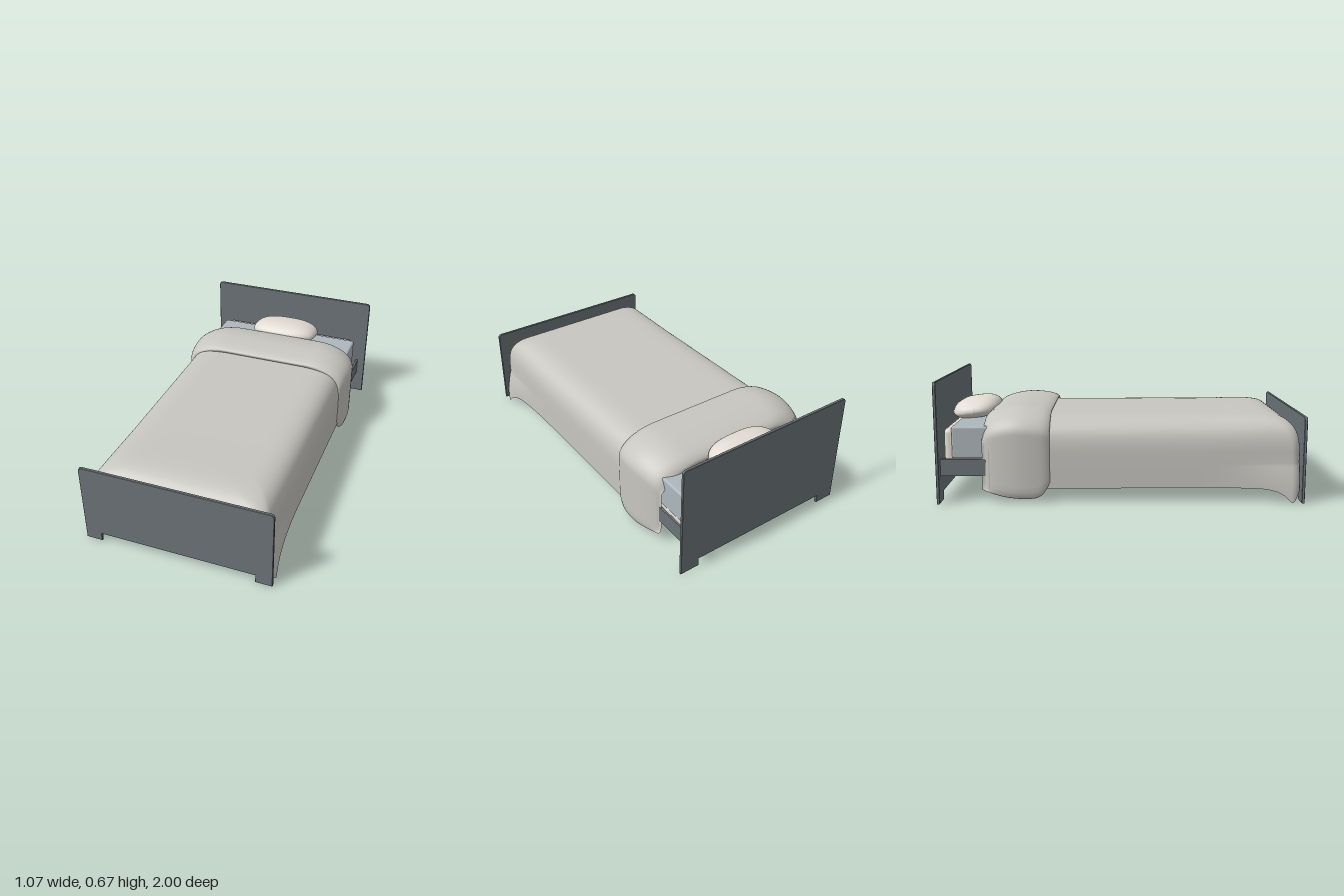
import * as THREE from 'three';
import { RoundedBoxGeometry } from 'three/addons/geometries/RoundedBoxGeometry.js';

const material = (color, side = THREE.FrontSide) => new THREE.MeshStandardMaterial({ color, side });
const clamp01 = (t) => Math.min(1, Math.max(0, t));

// Smooth surface through rows of points
function gridGeometry(rows, closed = false) {
  const n = rows[0].length, index = [];
  for (let i = 0; i < rows.length - 1; i++) {
    for (let j = 0; j < (closed ? n : n - 1); j++) {
      const k = (j + 1) % n, a = i * n + j, b = i * n + k, c = a + n, d = b + n;
      index.push(a, b, d, a, d, c);
    }
  }
  const g = new THREE.BufferGeometry();
  g.setAttribute('position', new THREE.Float32BufferAttribute(rows.flat(2), 3));
  g.setIndex(index);
  g.computeVertexNormals();
  return g;
}

// End board: rounded top corners and a notch that leaves two feet
function boardGeometry(height, footInner) {
  const w = 0.533, r = 0.02, notch = 0.048, s = new THREE.Shape();
  s.moveTo(-w, 0);
  s.lineTo(-footInner, 0);
  s.lineTo(-footInner, notch);
  s.lineTo(footInner, notch);
  s.lineTo(footInner, 0);
  s.lineTo(w, 0);
  s.lineTo(w, height - r);
  s.absarc(w - r, height - r, r, 0, Math.PI / 2);
  s.absarc(r - w, height - r, r, Math.PI / 2, Math.PI);
  return new THREE.ExtrudeGeometry(s, {
    depth: 0.012, bevelThickness: 0.002, bevelSize: 0.002, bevelOffset: -0.002, bevelSegments: 1, curveSegments: 6,
  });
}

// Blanket: rounded U-shaped outlines, stacked from the hem up and in to the middle
function blanketGeometry() {
  const top = 0.461, edge = 0.25, wall = 10, head = -0.72, foot = 0.98;
  const soften = (v) => Math.max(0, v) ** (2 / 3.6);
  const levels = [];
  for (let i = 0; i <= wall; i++) levels.push({ d: 0, h: i / wall });
  for (let i = 1; i <= 20; i++) {
    const a = (i / 20) * Math.PI / 2;
    levels.push({ d: edge * (1 - soften(Math.cos(a))), y: top - edge * (1 - soften(Math.sin(a))) });
  }
  for (const d of [0.33, 0.42, 0.5]) levels.push({ d, y: top });

  const rows = levels.map(({ d, h, y }) => {
    const w = 0.5 - d, f = foot - d, r = Math.min(w, 0.05 + 0.4 * d), half = [];
    for (let i = 0; i < 40; i++) half.push([w, head + (f - r - head) * i / 40]);
    for (let i = 0; i <= 10; i++) {
      const a = (i / 10) * Math.PI / 2;
      half.push([w - r + r * Math.cos(a), f - r + r * Math.sin(a)]);
    }
    for (let i = 1; i <= 16; i++) half.push([(w - r) * (1 - i / 16), f]);
    const outline = [...half, ...half.slice(0, -1).reverse().map(([x, z]) => [-x, z])];
    return outline.map(([x, z]) => {
      // The top rises slightly, and the hem drops and flares, towards the foot
      const rise = 0.006 * clamp01((z - 0.5) / 0.3);
      if (h === undefined) return [x, y + rise, z];
      const drop = clamp01((z - 0.5) / 0.43) ** 7 * clamp01((Math.abs(x) - 0.2) / 0.28) ** 3
        * (1 - 0.7 * clamp01((z - 0.935) / 0.035) ** 2);
      const hem = 0.079 - 0.076 * drop;
      const flare = 0.032 * clamp01((z - 0.45) / 0.48) ** 2 * (1 - h * h);
      return [x * (1 + flare / 0.5), hem + (top - edge + rise - hem) * h, z];
    });
  });
  return gridGeometry(rows);
}

// Turned-down fold: a puffy closed section carried over the bed in an arch
function foldGeometry() {
  const profile = new THREE.CatmullRomCurve3([
    [-0.7, 0.1], [-0.745, 0.095], [-0.757, 0.07], [-0.735, 0.042], [-0.68, 0.018], [-0.57, 0], [-0.46, 0.006],
    [-0.41, 0.017], [-0.387, 0.032], [-0.394, 0.048], [-0.42, 0.06], [-0.55, 0.06],
  ].map(([z, d]) => new THREE.Vector3(z, d, 0)), true).getPoints(64).slice(0, -1);
  const hemAt = (z) => {
    const t = z + 0.53;
    return 0.02 + (t < 0 ? 0.05 * (t / 0.22) ** 2 : 0.09 * (t / 0.14) ** 4);
  };
  const rx = 0.23, ry = 0.132, arch = [];
  arch.push({ h: 0, close: 1 }, { h: 0.01, close: 0.6 }, { h: 0.035, close: 0.25 });
  for (let i = 1; i <= 12; i++) arch.push({ h: 0.035 + 0.965 * i / 12, close: 0 });
  for (let i = 1; i <= 14; i++) arch.push({ a: (i / 14) * Math.PI / 2 });
  for (let i = 1; i <= 6; i++) arch.push({ flat: 1 - i / 6 });

  const half = arch.map(({ h, close, a, flat }) => profile.map(({ x: z, y: depth }) => {
    const lift = h !== undefined ? 0 : a !== undefined ? Math.sin(a) : 1;
    let d = Math.min(depth, 0.048 + 0.052 * lift);
    if (close) d += (0.03 - d) * close;
    const w = 0.53 - d, top = 0.512 - d, hem = hemAt(z);
    if (h !== undefined) return [w, hem + (top - ry - hem) * h, z];
    if (a !== undefined) return [w - rx + rx * Math.cos(a), top - ry + ry * Math.sin(a), z];
    return [(w - rx) * flat, top, z];
  }));
  const mirrored = half.slice(0, -1).reverse().map((row) => row.map(([x, y, z]) => [-x, y, z]));
  return gridGeometry([...half, ...mirrored], true);
}

// Pillow: sphere squared off in plan, flatter underneath
function pillowGeometry() {
  const g = new THREE.SphereGeometry(1, 48, 32), p = g.attributes.position;
  const square = (v) => Math.sign(v) * Math.abs(v) ** 0.72;
  for (let i = 0; i < p.count; i++) {
    const y = p.getY(i);
    p.setXYZ(i, 0.215 * square(p.getX(i)), y * (y > 0 ? 0.07 : 0.05), 0.137 * square(p.getZ(i)));
  }
  g.computeVertexNormals();
  return g;
}

export function createModel() {
  const bed = new THREE.Group();
  bed.name = 'bed';
  const add = (name, geometry, mat, x = 0, y = 0, z = 0) => {
    const mesh = new THREE.Mesh(geometry, mat);
    mesh.name = name;
    mesh.position.set(x, y, z);
    bed.add(mesh);
    return mesh;
  };

  const frame = material(0x6b7378);
  const cloth = material(0xc8c6c0, THREE.DoubleSide);
  const ticking = material(0xe4dcd3);

  // Frame
  add('headboard', boardGeometry(0.665, 0.42), frame, 0, 0, -0.998);
  add('footboard', boardGeometry(0.475, 0.44), frame, 0, 0, 0.986);
  for (const side of [1, -1]) {
    add(side > 0 ? 'leftRail' : 'rightRail', new THREE.BoxGeometry(0.012, 0.095, 1.95), frame, side * 0.479, 0.193, -0.01);
  }

  // Mattress, the base under it and its sheet
  add('mattress', new RoundedBoxGeometry(0.89, 0.193, 1.92, 4, 0.03), ticking, 0, 0.307, -0.01);
  add('bedBase', new RoundedBoxGeometry(0.92, 0.06, 1.885, 4, 0.015), ticking, 0, 0.22, 0.022);
  add('sheet', new RoundedBoxGeometry(0.92, 0.178, 1.85, 3, 0.012), material(0xadb8bd), 0, 0.326, 0);

  // Bedding
  add('blanket', blanketGeometry(), cloth);
  add('blanketFold', foldGeometry(), cloth);
  const pillow = add('pillow', pillowGeometry(), material(0xe2dcd4), 0, 0.453, -0.848);
  pillow.rotation.x = -0.12;
  return bed;
}
